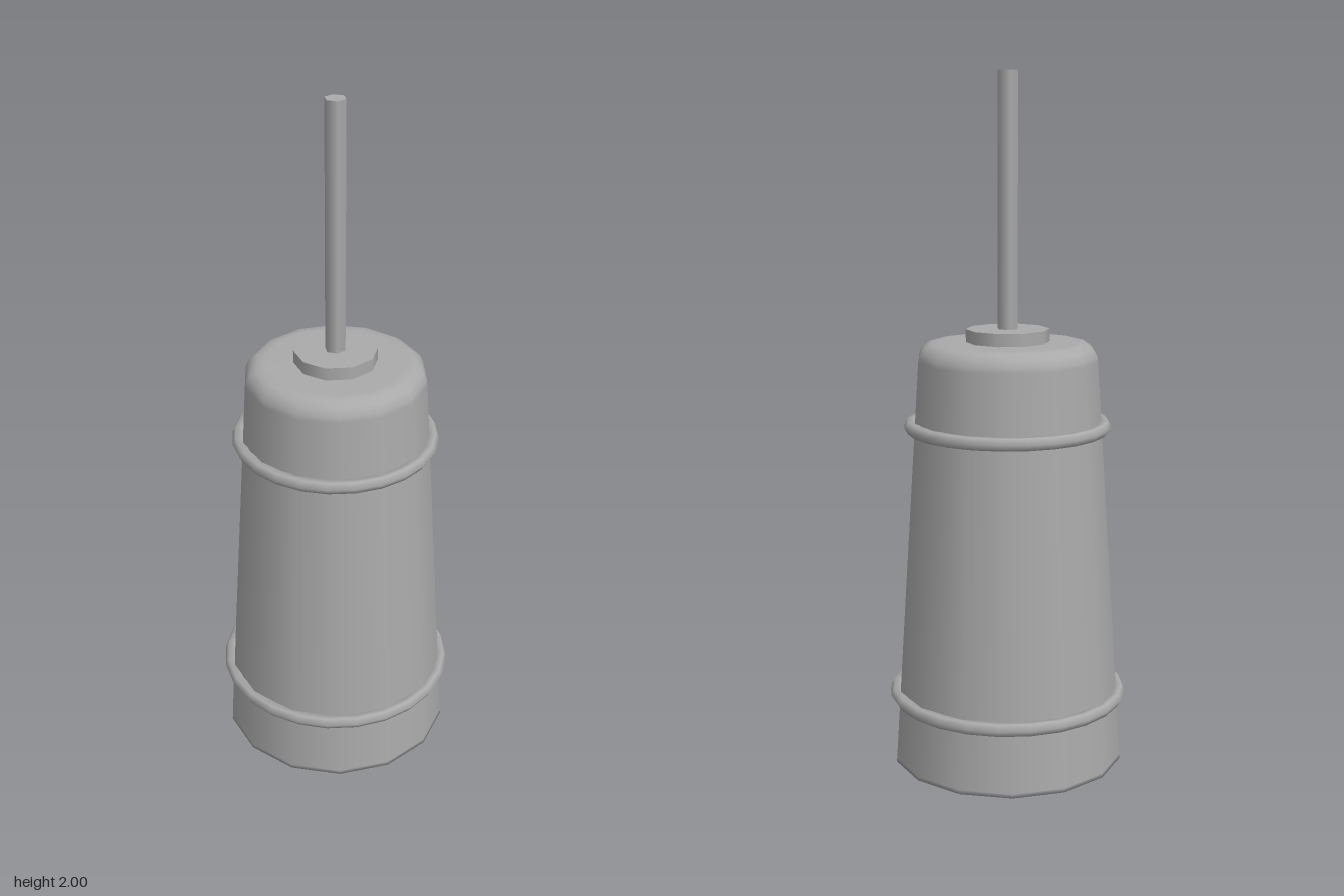
import * as THREE from 'three';

export function createModel() {
  const group = new THREE.Group();
  const grey = new THREE.MeshStandardMaterial({ color: 0xaaaaaa });
  grey.name = 'grey';

  function add(name, geometry, y = 0) {
    const mesh = new THREE.Mesh(geometry, grey);
    mesh.name = name;
    mesh.position.y = y;
    group.add(mesh);
    return mesh;
  }

  // Tapered 14-sided tub with a rounded shoulder and closed ends
  const profile = [
    [0, 0], [0.34, 0], [0.339, 0.012], [0.262, 1.19], [0.26, 1.205],
    [0.249, 1.226], [0.228, 1.24], [0.2, 1.243], [0, 1.243],
  ].map(([r, y]) => new THREE.Vector2(r, y));
  add('tub', new THREE.LatheGeometry(profile, 14));

  // Hoops around the tub
  for (const [name, radius, y] of [['lowerHoop', 0.33, 0.2], ['upperHoop', 0.28, 1.0]]) {
    add(name, new THREE.TorusGeometry(radius, 0.02, 6, 24).rotateX(Math.PI / 2), y);
  }

  // Ten-sided collar on the lid
  add('collar', new THREE.CylinderGeometry(0.12, 0.12, 0.06, 10), 1.25);

  // Hexagonal plunger rod
  add('plungerRod', new THREE.CylinderGeometry(0.03, 0.03, 0.8, 6), 1.6);

  return group;
}
